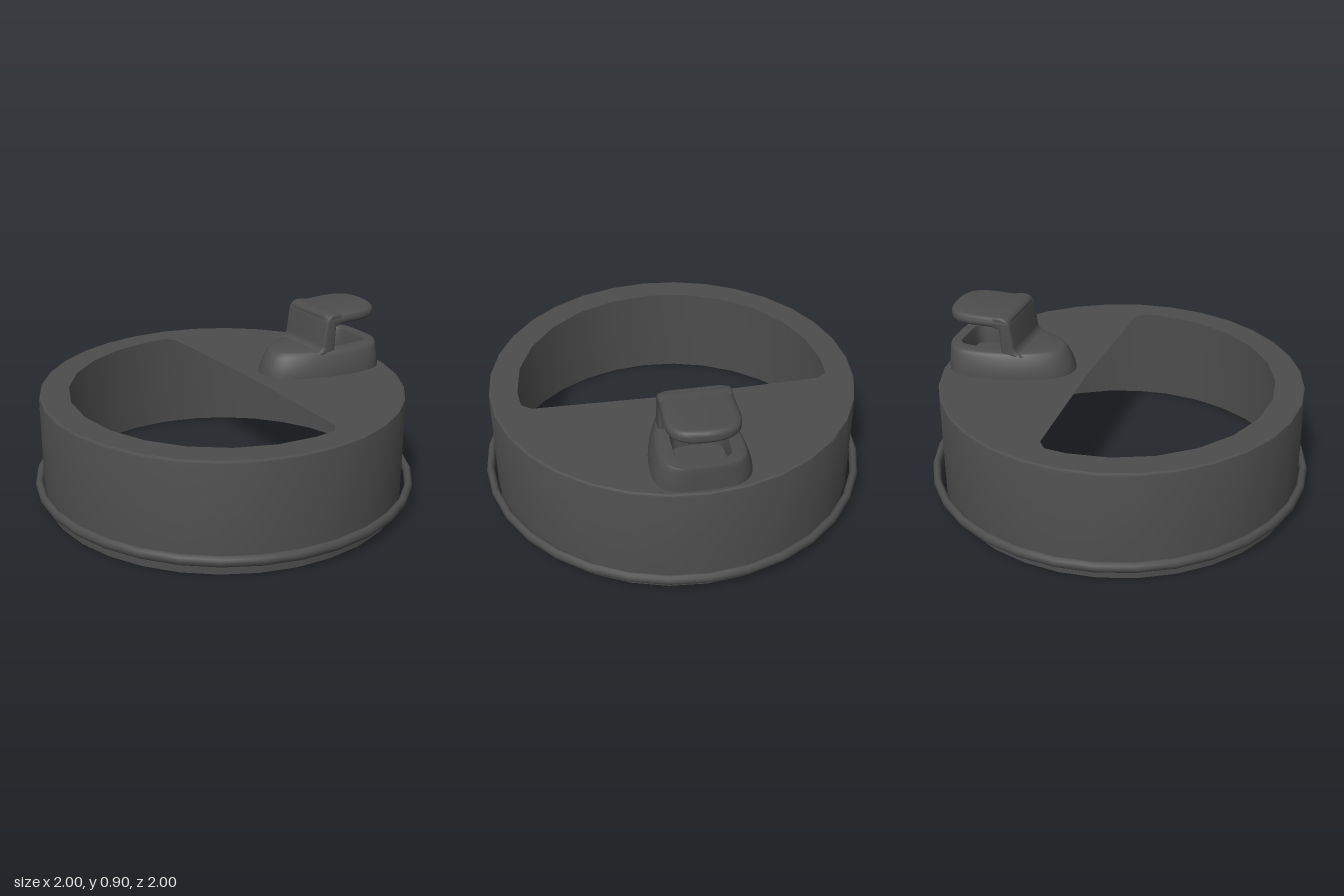
import * as THREE from 'three';
import { toCreasedNormals } from 'three/addons/utils/BufferGeometryUtils.js';

const SEG = 32;
const V2 = (x, y) => new THREE.Vector2(x, y);

// Skin stacked rings of [x, y, z] points (counterclockwise from above), closing the last ring
function loft(rings) {
  const n = rings[0].length, index = [];
  const pos = rings.flat(2);
  for (let r = 0; r < rings.length - 1; r++) {
    for (let i = 0; i < n; i++) {
      const j = (i + 1) % n, a = r * n + i, b = r * n + j;
      index.push(a, b, b + n, a, b + n, a + n);
    }
  }
  const last = rings.length - 1, c = rings.length * n;
  const sum = rings[last].reduce((s, p) => [s[0] + p[0] / n, s[1] + p[2] / n], [0, 0]);
  pos.push(sum[0], rings[last][0][1], sum[1]);
  for (let i = 0; i < n; i++) index.push(c, last * n + i, last * n + (i + 1) % n);
  const g = new THREE.BufferGeometry();
  g.setAttribute('position', new THREE.Float32BufferAttribute(pos, 3));
  g.setIndex(index);
  return g;
}

export function createModel() {
  const group = new THREE.Group();
  const plastic = new THREE.MeshStandardMaterial({ color: 0x4d4d4d });
  plastic.name = 'dark grey plastic';
  const add = (name, geometry, crease = 0.6) => {
    const mesh = new THREE.Mesh(toCreasedNormals(geometry, crease), plastic);
    mesh.name = name;
    group.add(mesh);
    return mesh;
  };

  // Side wall, open at the bottom
  const wall = [[0.925, 0.54], [0.925, 0], [0.945, 0], [0.945, 0.562], [0.942, 0.571], [0.932, 0.575]];
  add('wall', new THREE.LatheGeometry(wall.map(p => V2(...p)), SEG)).position.x = -0.01;

  // Top plate with a D-shaped opening
  const disc = [];
  for (let i = 0; i < SEG; i++) {
    const a = i / SEG * Math.PI * 2;
    disc.push(V2(0.932 * Math.sin(a), 0.932 * Math.cos(a)));
  }
  const plate = new THREE.Shape(disc);
  const opening = [V2(0.16, 0.74), V2(0.18, 0), V2(0.16, -0.74), V2(0.12, -0.79)];
  for (let i = 0; i <= 12; i++) {
    const a = -Math.PI / 2 - i / 12 * Math.PI;
    opening.push(V2(0.01 + 0.805 * Math.cos(a), 0.8 * Math.sin(a)));
  }
  opening.push(V2(0.12, 0.79));
  plate.holes.push(new THREE.Path(opening));
  const plateGeo = new THREE.ExtrudeGeometry(plate, { depth: 0.045, bevelEnabled: false });
  plateGeo.rotateX(-Math.PI / 2).translate(0, 0.53, 0);
  add('topPlate', plateGeo).position.x = -0.01;

  // Loose ring around the foot of the wall
  const ring = [];
  for (let i = 0; i <= 10; i++) {
    const a = i / 10 * Math.PI * 2;
    ring.push(V2(0.979 + 0.021 * Math.cos(a), 0.086 + 0.029 * Math.sin(a)));
  }
  add('footRing', new THREE.LatheGeometry(ring, SEG), 0.8);

  // Egg-shaped spout base with a recess in its top
  const half = [[0.89, 0.16], [0.83, 0.225], [0.68, 0.238], [0.5, 0.205], [0.36, 0.15], [0.27, 0.08]];
  const outline = [[0.905, 0], ...half, [0.245, 0], ...half.slice().reverse().map(p => [p[0], -p[1]])];
  const N = 48;
  const egg = new THREE.CatmullRomCurve3(
    outline.map(p => new THREE.Vector3(p[0], 0, -p[1])), true).getSpacedPoints(N).slice(0, N);
  const eggRing = (y, sx, sz) => egg.map(p => [0.87 + (p.x - 0.87) * sx, y, p.z * sz]);
  const power = v => Math.sign(v) * Math.abs(v) ** 0.45;
  const recessRing = (y, s) => egg.map((p, i) => {
    const a = i / N * Math.PI * 2;
    return [0.725 + 0.125 * s * power(Math.cos(a)), y, -0.135 * s * power(Math.sin(a))];
  });
  add('spoutBase', loft([
    eggRing(0.565, 1, 1), eggRing(0.6, 0.99, 0.99), eggRing(0.64, 0.965, 0.95),
    eggRing(0.68, 0.93, 0.89), eggRing(0.698, 0.905, 0.85), eggRing(0.705, 0.87, 0.8),
    recessRing(0.705, 1), recessRing(0.695, 0.97), recessRing(0.6, 0.95),
  ]), 0.7);

  // Leaning post that carries the flap
  const side = new THREE.Shape();
  side.moveTo(0.47, 0.69);
  side.lineTo(0.49, 0.703);
  side.quadraticCurveTo(0.512, 0.71, 0.517, 0.74);
  side.lineTo(0.533, 0.855);
  side.quadraticCurveTo(0.542, 0.9, 0.59, 0.9);
  side.lineTo(0.63, 0.895);
  side.lineTo(0.63, 0.837);
  side.lineTo(0.597, 0.832);
  side.lineTo(0.587, 0.69);
  const postGeo = new THREE.ExtrudeGeometry(side, {
    depth: 0.32, curveSegments: 5, bevelSize: 0.012, bevelOffset: -0.012, bevelThickness: 0.015, bevelSegments: 3,
  });
  add('flapPost', postGeo.translate(0, 0, -0.16), 0.7);

  // Domed flap with a rounded free end
  const flap = new THREE.Shape();
  flap.moveTo(0.56, -0.175);
  flap.lineTo(0.76, -0.178);
  flap.bezierCurveTo(0.87, -0.175, 0.902, -0.11, 0.902, 0);
  flap.bezierCurveTo(0.902, 0.11, 0.87, 0.175, 0.76, 0.178);
  flap.lineTo(0.56, 0.175);
  flap.quadraticCurveTo(0.537, 0.16, 0.537, 0.12);
  flap.lineTo(0.537, -0.12);
  flap.quadraticCurveTo(0.537, -0.16, 0.56, -0.175);
  const flapGeo = new THREE.ExtrudeGeometry(flap, {
    depth: 0.025, curveSegments: 8, bevelSize: 0.03, bevelOffset: -0.03, bevelThickness: 0.022, bevelSegments: 4,
  });
  flapGeo.rotateX(-Math.PI / 2).translate(0, 0.857, 0);
  const p = flapGeo.attributes.position;
  for (let i = 0; i < p.count; i++) {
    const y = p.getY(i), z = p.getZ(i);
    if (y > 0.86) p.setY(i, y - 0.35 * z * z);
    else if (y < 0.857) p.setY(i, 0.857 - (0.857 - y));
  }
  add('flap', flapGeo, 0.7);

  return group;
}
